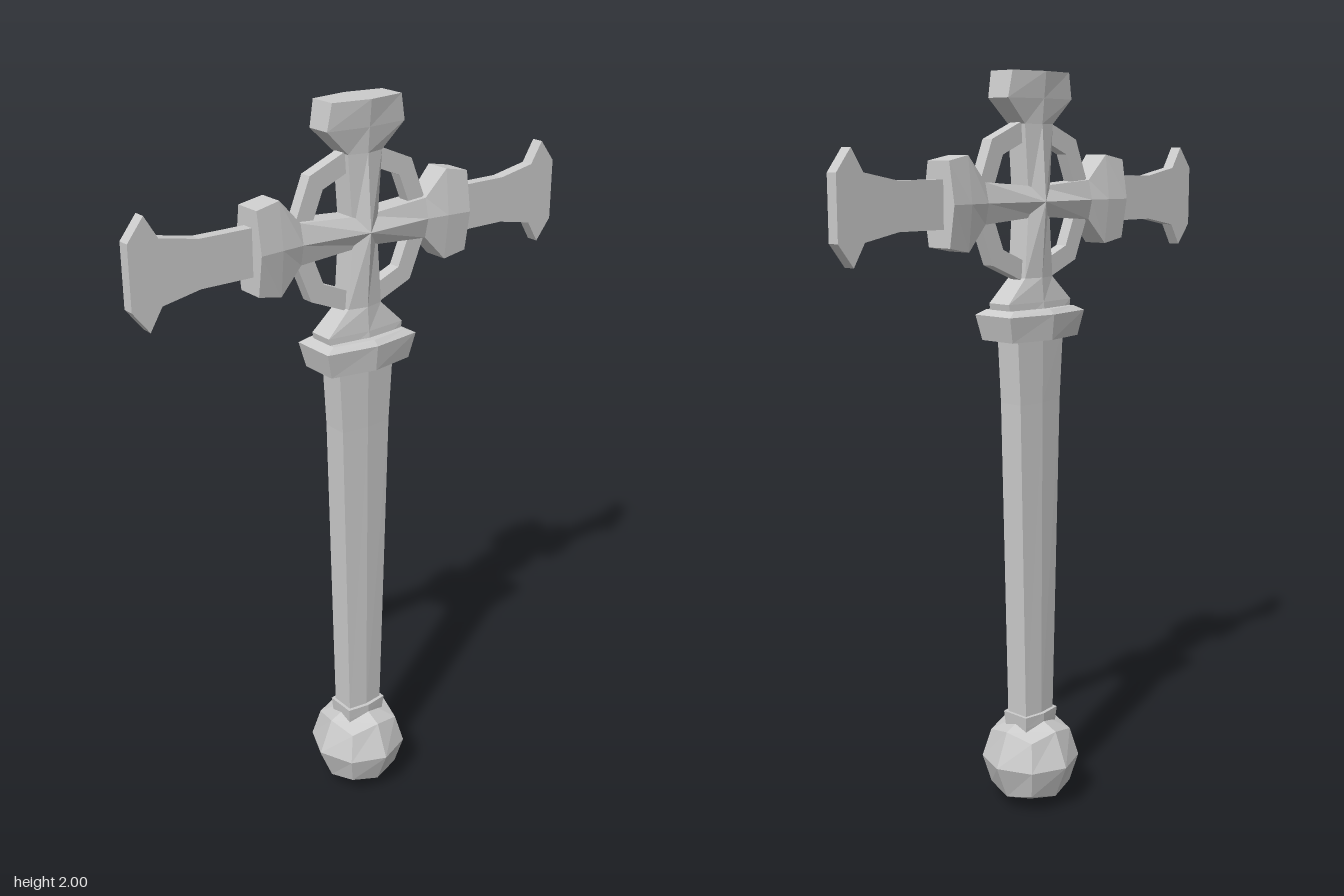
import * as THREE from 'three';

const material = new THREE.MeshStandardMaterial({ color: 0xcccccc, flatShading: true });

function part(name, geometry) {
  const flat = geometry.index ? geometry.toNonIndexed() : geometry;
  flat.computeVertexNormals();
  const mesh = new THREE.Mesh(flat, material);
  mesh.name = name;
  return mesh;
}

// Ridged bar along +y with a six-sided cross-section.
// Each section: [y, half depth in z, half width at the edges, half width at the ridge]
function ridgedBar(sections) {
  const positions = [], index = [];
  for (const [y, h, e, r] of sections) {
    for (const [x, z] of [[r, 0], [e, h], [-e, h], [-r, 0], [-e, -h], [e, -h]]) positions.push(x, y, z);
  }
  for (let s = 0; s < sections.length - 1; s++) {
    for (let i = 0; i < 6; i++) {
      const a = s * 6 + i, b = s * 6 + (i + 1) % 6;
      index.push(a, a + 6, b, b, a + 6, b + 6);
    }
  }
  const top = (sections.length - 1) * 6;
  for (let i = 1; i < 5; i++) {
    index.push(0, i, i + 1, top, top + i + 1, top + i);
  }
  const geometry = new THREE.BufferGeometry();
  geometry.setAttribute('position', new THREE.Float32BufferAttribute(positions, 3));
  geometry.setIndex(index);
  return geometry;
}

// Flat plate: outline drawn in (z, y), thickness centred on x = 0
function plate(shape, thickness) {
  const geometry = new THREE.ExtrudeGeometry(shape, { depth: thickness, bevelEnabled: false });
  geometry.translate(0, 0, -thickness / 2);
  geometry.rotateY(-Math.PI / 2);
  return geometry;
}

function octagon(radius) {
  return Array.from({ length: 8 }, (_, i) =>
    new THREE.Vector2(Math.cos(i * Math.PI / 4) * radius, Math.sin(i * Math.PI / 4) * radius));
}

export function createModel() {
  const model = new THREE.Group();
  model.name = 'scepter';

  // Faceted ball at the foot: a divided cube pushed out to a sphere
  const ball = new THREE.BoxGeometry(1, 1, 1, 2, 2, 2);
  const p = ball.attributes.position, v = new THREE.Vector3();
  for (let i = 0; i < p.count; i++) {
    v.fromBufferAttribute(p, i).setLength(0.135);
    p.setXYZ(i, v.x, v.y, v.z);
  }
  ball.translate(0, 0.137, 0);
  model.add(part('pommel', ball));

  // Handle
  model.add(part('collar', ridgedBar([
    [0.2, 0.055, 0.036, 0.045], [0.245, 0.06, 0.04, 0.05], [0.275, 0.063, 0.042, 0.052],
  ])));
  model.add(part('shaft', ridgedBar([
    [0.26, 0.054, 0.034, 0.041], [1.15, 0.076, 0.036, 0.044], [1.34, 0.087, 0.037, 0.046],
  ])));
  model.add(part('guard', ridgedBar([
    [1.32, 0.125, 0.055, 0.078], [1.387, 0.142, 0.063, 0.085], [1.4, 0.115, 0.05, 0.07],
  ])));

  // Cross head
  const head = new THREE.Group();
  head.name = 'crossHead';
  head.position.y = 1.675;
  model.add(head);

  // Four ridged arms ending in flared blocks
  for (let k = 0; k < 4; k++) {
    const arm = part('crossArm', ridgedBar([
      [0, 0.038, 0.03, 0.055], [0.195, 0.052, 0.03, 0.042],
      [0.258, 0.118, 0.035, 0.048], [0.325, 0.105, 0.038, 0.055],
    ]));
    arm.rotation.x = k * Math.PI / 2;
    head.add(arm);
  }

  // Octagonal ring behind the crossing
  const ringShape = new THREE.Shape(octagon(0.222));
  ringShape.holes.push(new THREE.Path(octagon(0.168)));
  head.add(part('ring', plate(ringShape, 0.034)));

  // Flared blades on the two side arms
  const profile = [[0.3, 0.06], [0.47, 0.06], [0.575, 0.08], [0.61, 0.137], [0.655, 0.08]];
  const outline = [
    ...profile.map(([z, y]) => new THREE.Vector2(z, -y)),
    ...profile.map(([z, y]) => new THREE.Vector2(z, y)).reverse(),
  ];
  for (const turn of [0, Math.PI]) {
    const blade = part('blade', plate(new THREE.Shape(outline), 0.033));
    blade.rotation.y = turn;
    head.add(blade);
  }

  return model;
}
